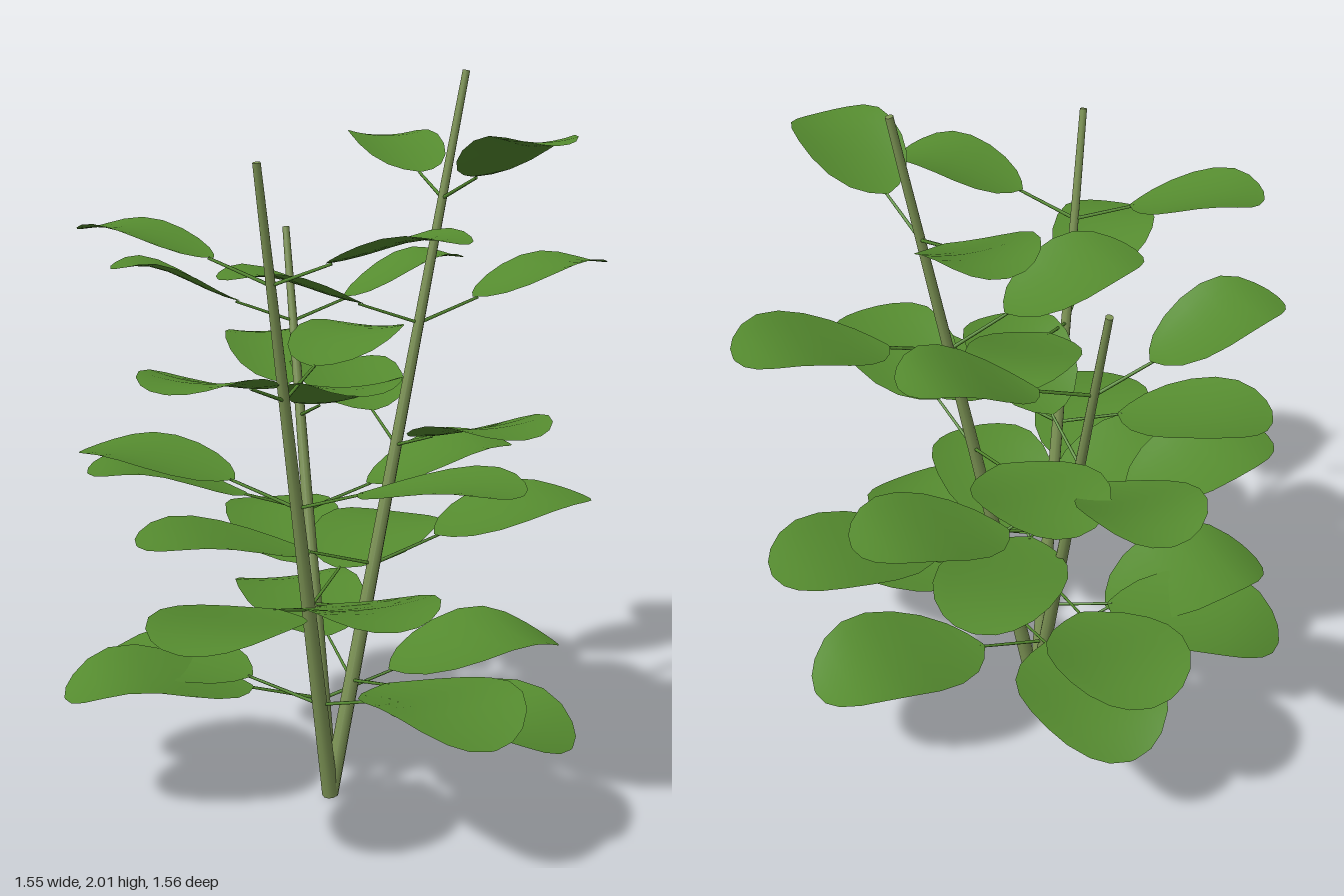
import * as THREE from 'three';

const stemMat = new THREE.MeshStandardMaterial({ color: 0x7d9455 });
stemMat.name = 'stemGreen';
const leafMat = new THREE.MeshStandardMaterial({ color: 0x558b2f, side: THREE.DoubleSide });
leafMat.name = 'leafGreen';

// Half-width of the blade along its length, as [position, fraction of full width]
const OUTLINE = [[0, 0.04], [0.05, 0.32], [0.13, 0.6], [0.26, 0.84], [0.41, 0.97], [0.57, 1],
  [0.72, 0.94], [0.84, 0.79], [0.93, 0.56], [0.98, 0.32], [1, 0.04]];

const BASE = new THREE.Vector3(-0.055, 0, 0.055);
const PETIOLE_RISE = 0.06;

// Tapered round rod between two points
function rod(name, a, b, rBottom, rTop, sides, mat) {
  const dir = b.clone().sub(a);
  const mesh = new THREE.Mesh(new THREE.CylinderGeometry(rTop, rBottom, dir.length(), sides), mat);
  mesh.position.copy(a).add(b).multiplyScalar(0.5);
  mesh.quaternion.setFromUnitVectors(new THREE.Vector3(0, 1, 0), dir.normalize());
  mesh.name = name;
  return mesh;
}

// Rounded blade running along +x: rises, flattens, drops at the tip, slightly cupped
function bladeGeometry(start, end, rise, tipDrop) {
  const rows = OUTLINE.length - 1;
  const length = end - start;
  const geo = new THREE.PlaneGeometry(1, 1, rows, 8).rotateX(-Math.PI / 2);
  const pos = geo.attributes.position;
  for (let i = 0; i < pos.count; i++) {
    const [u, w] = OUTLINE[Math.round((pos.getX(i) + 0.5) * rows)];
    const s = pos.getZ(i) * 2 * w;
    const tip = Math.max(0, (u - 0.55) / 0.45);
    const y = PETIOLE_RISE + (rise - 0.08) * THREE.MathUtils.smoothstep(u, -0.1, 0.85)
      - tipDrop * tip * tip + 0.02 * s * s;
    pos.setXYZ(i, start + u * length, y, s * length * 0.368);
  }
  geo.computeVertexNormals();
  return geo;
}

// Leaf with its stalk, pointing along +x from the node; the lowest leaves hang at the tip
function leaf(k, rise) {
  const g = new THREE.Group();
  g.name = 'leaf';
  const start = 0.215 - 0.012 * k;
  const end = 0.777 - 0.052 * k;
  const tipDrop = k === 1 ? 0.06 : 0.012;
  const blade = new THREE.Mesh(bladeGeometry(start, end, rise, tipDrop), leafMat);
  blade.name = 'leafBlade';
  g.add(blade, rod('leafStalk', new THREE.Vector3(0, 0, 0),
    new THREE.Vector3(start + 0.012, PETIOLE_RISE + 0.001, 0), 0.005, 0.004, 6, leafMat));
  return g;
}

// Straight leaning stem with five crossed pairs of leaves;
// the sideways pairs swing a little towards the lean, the lowest pair may droop
function branch(name, top, { rise, swing, outerYaw, lowDroop }) {
  const g = new THREE.Group();
  g.name = name;
  g.add(rod('stem', BASE, top, 0.023, 0.01, 10, stemMat));
  const lean = Math.atan2(-(top.z - BASE.z), top.x - BASE.x);
  for (let k = 1; k <= 5; k++) {
    const node = BASE.clone().lerp(top, k / 6);
    for (const side of [1, -1]) {
      const l = leaf(k, rise + 0.007 * (k - 3));
      const sideways = side * (Math.PI / 2 - swing);
      const lengthways = side > 0 ? outerYaw : Math.PI;
      l.position.copy(node);
      l.rotation.y = lean + (k % 2 ? sideways : lengthways);
      l.rotation.z = k === 1 ? -lowDroop : 0;
      g.add(l);
    }
  }
  return g;
}

export function createModel() {
  const plant = new THREE.Group();
  plant.name = 'plant';
  plant.add(
    branch('tallBranch', new THREE.Vector3(0.34, 2, 0.055),
      { rise: 0.168, swing: 0.075, outerYaw: 0, lowDroop: 0 }),
    branch('frontBranch', new THREE.Vector3(-0.355, 1.78, 0.33),
      { rise: 0.14, swing: 0.05, outerYaw: 0, lowDroop: 0.04 }),
    branch('backBranch', new THREE.Vector3(-0.02, 1.57, -0.35),
      { rise: 0.183, swing: 0.02, outerYaw: -0.08, lowDroop: 0 }),
  );
  return plant;
}
